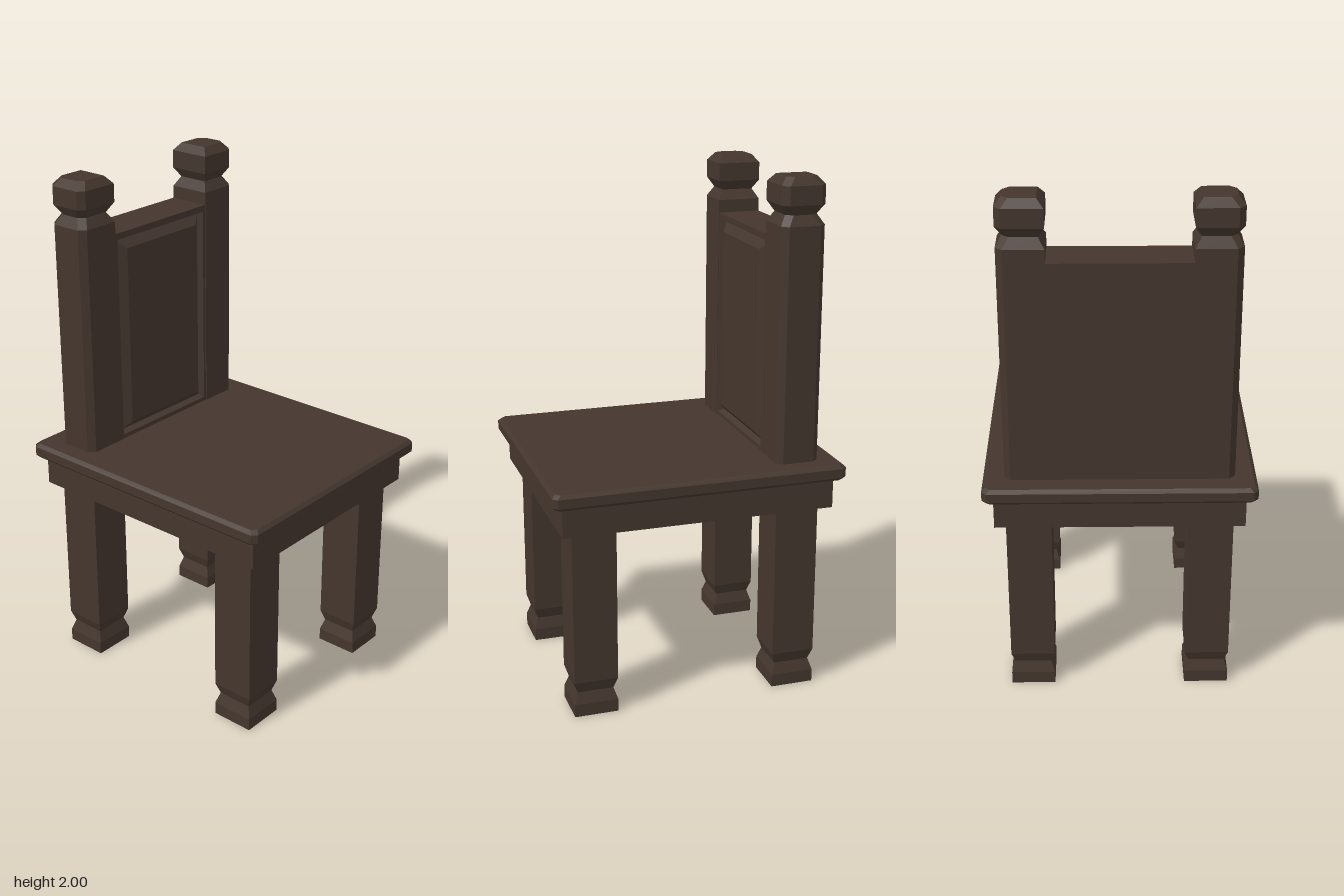
import * as THREE from 'three';

// Rectangle outline in x/z; corners on the +z / -z side may be cut off
function outline(hx, hz, cutFront = 0, cutBack = 0) {
  const pts = [];
  const f = cutFront, b = cutBack;
  pts.push([-hx + f, hz], [hx - f, hz]);
  if (f) pts.push([hx, hz - f]);
  if (b) pts.push([hx, -hz + b]);
  pts.push([hx - b, -hz], [-hx + b, -hz]);
  if (b) pts.push([-hx, -hz + b]);
  if (f) pts.push([-hx, hz - f]);
  return pts;
}

// Flat-faced solid through rings of { y, pts }, capped at both ends
function loft(rings) {
  const pos = [];
  const n = rings[0].pts.length;
  const put = (r, i) => pos.push(r.pts[i % n][0], r.y, r.pts[i % n][1]);
  for (let k = 0; k < rings.length - 1; k++) {
    const a = rings[k], b = rings[k + 1];
    for (let i = 0; i < n; i++) {
      put(a, i); put(a, i + 1); put(b, i + 1);
      put(a, i); put(b, i + 1); put(b, i);
    }
  }
  const bottom = rings[0], top = rings[rings.length - 1];
  for (let i = 1; i < n - 1; i++) {
    put(top, 0); put(top, i); put(top, i + 1);
    put(bottom, 0); put(bottom, i + 1); put(bottom, i);
  }
  const g = new THREE.BufferGeometry();
  g.setAttribute('position', new THREE.Float32BufferAttribute(pos, 3));
  g.computeVertexNormals();
  return g;
}

export function createModel() {
  const chair = new THREE.Group();
  chair.name = 'chair';
  const wood = new THREE.MeshStandardMaterial({ color: 0x44362e });
  wood.name = 'dark wood';

  const add = (name, geometry, x = 0, y = 0, z = 0) => {
    const mesh = new THREE.Mesh(geometry, wood);
    mesh.name = name;
    mesh.position.set(x, y, z);
    chair.add(mesh);
    return mesh;
  };

  // Seat board with bevelled edges and corners
  const seatRings = [[0.867, 0.013], [0.88, 0], [0.915, 0], [0.928, 0.013]]
    .map(([y, d]) => ({ y, pts: outline(0.568 - d, 0.505 - d, 0.018, 0.018) }));
  add('seat', loft(seatRings));

  // Apron: four boards, open underneath
  for (const s of [-1, 1]) {
    add('apronSide', new THREE.BoxGeometry(1.056, 0.12, 0.04), 0, 0.81, s * 0.445);
    add('apronEnd', new THREE.BoxGeometry(0.04, 0.12, 0.85), s * 0.508, 0.81, 0);
  }

  // Square legs with a notched foot
  const legGeometry = loft(
    [[0, 0.085], [0.05, 0.085], [0.095, 0.07], [0.14, 0.085], [0.868, 0.085]]
      .map(([y, h]) => ({ y, pts: outline(h, h) })));
  for (const x of [-0.4, 0.4]) {
    for (const z of [-0.34, 0.34]) add('leg', legGeometry, x, 0, z);
  }

  // Back posts: outer corners cut, necked below a bevelled finial
  const postProfile = [[0.92, 0.085], [1.825, 0.085], [1.863, 0.062],
    [1.9, 0.085], [1.97, 0.085], [2, 0.06]];
  for (const s of [-1, 1]) {
    const rings = postProfile.map(([y, h]) => ({
      y, pts: outline(h, h, s > 0 ? 0.024 : 0, s < 0 ? 0.024 : 0),
    }));
    add('backPost', loft(rings), -0.4, 0, s * 0.34);
  }

  // Back rest: frame, groove and raised field, lofted towards +x
  const panelRings = [[-0.485, 0.4275, 0.256], [-0.318, 0.4275, 0.256],
    [-0.318, 0.4025, 0.243], [-0.342, 0.392, 0.234], [-0.314, 0.36, 0.195]]
    .map(([y, hx, hz]) => ({ y, pts: outline(hx, hz) }));
  const panel = add('backPanel', loft(panelRings), 0, 1.3475, 0);
  panel.rotation.z = -Math.PI / 2;

  return chair;
}
